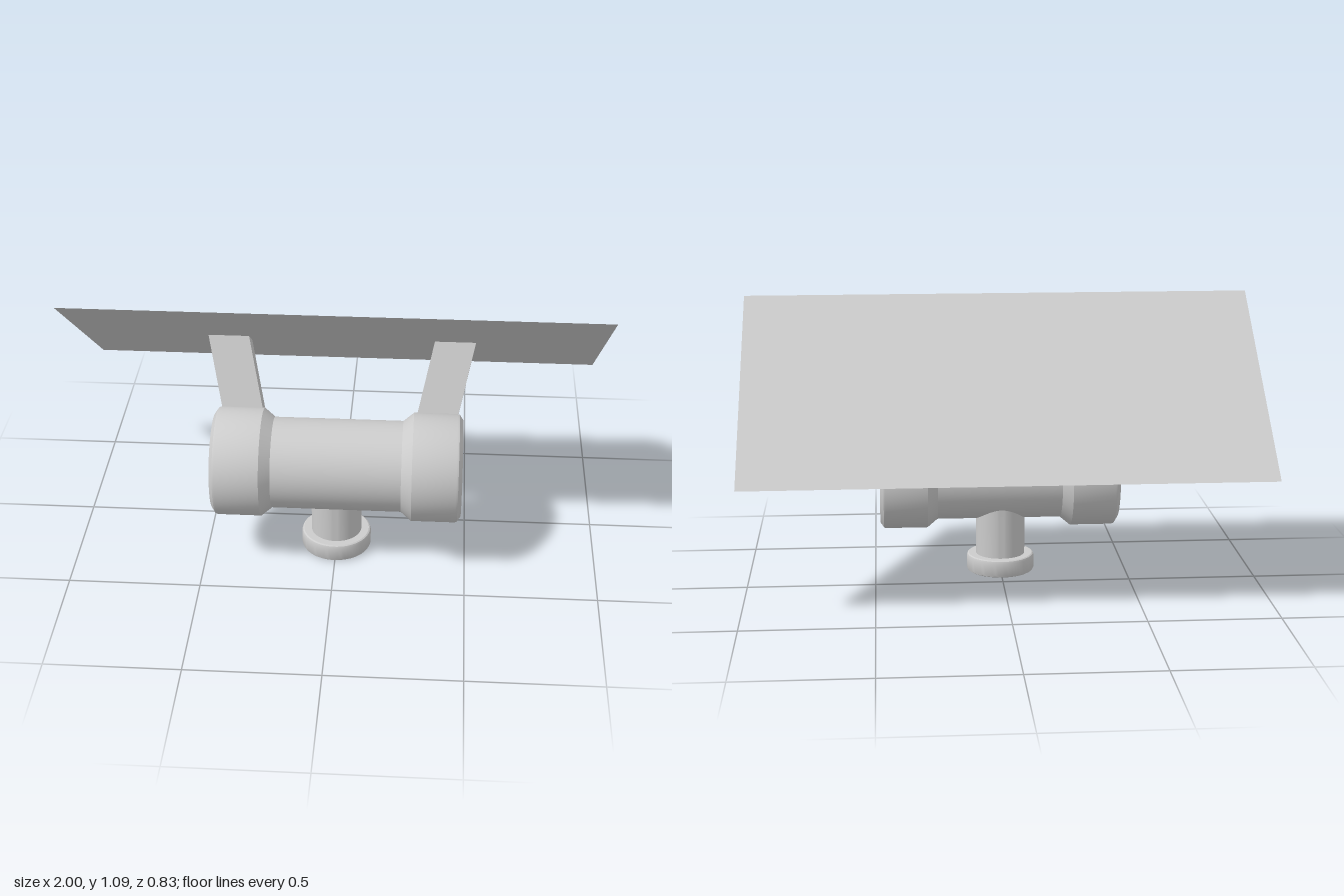
import * as THREE from 'three';
import { toCreasedNormals } from 'three/addons/utils/BufferGeometryUtils.js';

const grey = new THREE.MeshStandardMaterial({ color: 0xcccccc });
const greyThin = new THREE.MeshStandardMaterial({ color: 0xcccccc, side: THREE.DoubleSide });

// Turned part: profile of [radius, height] pairs
function turned(points) {
  const profile = points.map(([r, h]) => new THREE.Vector2(r, h));
  return toCreasedNormals(new THREE.LatheGeometry(profile, 64), 0.45);
}

function addPart(group, name, geometry, material = grey) {
  const mesh = new THREE.Mesh(geometry, material);
  mesh.name = name;
  group.add(mesh);
  return mesh;
}

// Slanted bar: box corners moved to lean back and outward, cut off along the panel
function armGeometry(side) {
  const g = new THREE.BoxGeometry(1, 1, 1);
  const p = g.attributes.position;
  const length = 0.4;
  for (let i = 0; i < p.count; i++) {
    const front = p.getZ(i) > 0;
    const drop = p.getY(i) > 0 ? 0 : length;
    const reach = 0.43 + side * p.getX(i) * 0.155;
    p.setXYZ(i,
      side * (reach - drop * 0.21),
      (front ? 0.815 : 0.742) - drop * 0.915,
      (front ? 0.008 : -0.094) + drop * 0.403);
  }
  const flat = g.toNonIndexed();
  flat.computeVertexNormals();
  return flat;
}

export function createModel() {
  const model = new THREE.Group();
  model.name = 'panelMount';

  // Round foot with softened rims, and the stem rising into the barrel
  const foot = addPart(model, 'foot', turned([
    [0, 0], [0.126, 0], [0.131, 0.003], [0.134, 0.01],
    [0.134, 0.058], [0.131, 0.066], [0.126, 0.069], [0, 0.069],
  ]));
  const stem = addPart(model, 'stem', turned([[0, 0.06], [0.097, 0.06], [0.097, 0.36], [0, 0.36]]));
  for (const part of [foot, stem]) part.position.set(-0.001, 0, 0.178);

  // Horizontal barrel with a wide chamfered collar at each end
  const half = [
    [0.173, 0.245], [0.206, 0.285], [0.206, 0.45],
    [0.203, 0.458], [0.182, 0.472], [0, 0.472],
  ];
  const mirrored = half.map(([r, h]) => [r, -h]).reverse();
  const barrel = addPart(model, 'barrel', turned([...mirrored, ...half]));
  barrel.rotation.z = -Math.PI / 2;
  barrel.position.set(0.006, 0.382, 0.211);

  // Pair of support arms
  for (const [name, side] of [['leftArm', 1], ['rightArm', -1]]) {
    addPart(model, name, armGeometry(side)).position.x = 0.008;
  }

  // Thin tilted panel, front edge high
  const rise = 0.592, depth = 0.764;
  const panel = addPart(model, 'panel', new THREE.PlaneGeometry(2, Math.hypot(rise, depth)), greyThin);
  panel.rotation.x = Math.atan2(depth, rise) + Math.PI;
  panel.position.set(0, 0.796, -0.031);

  return model;
}
